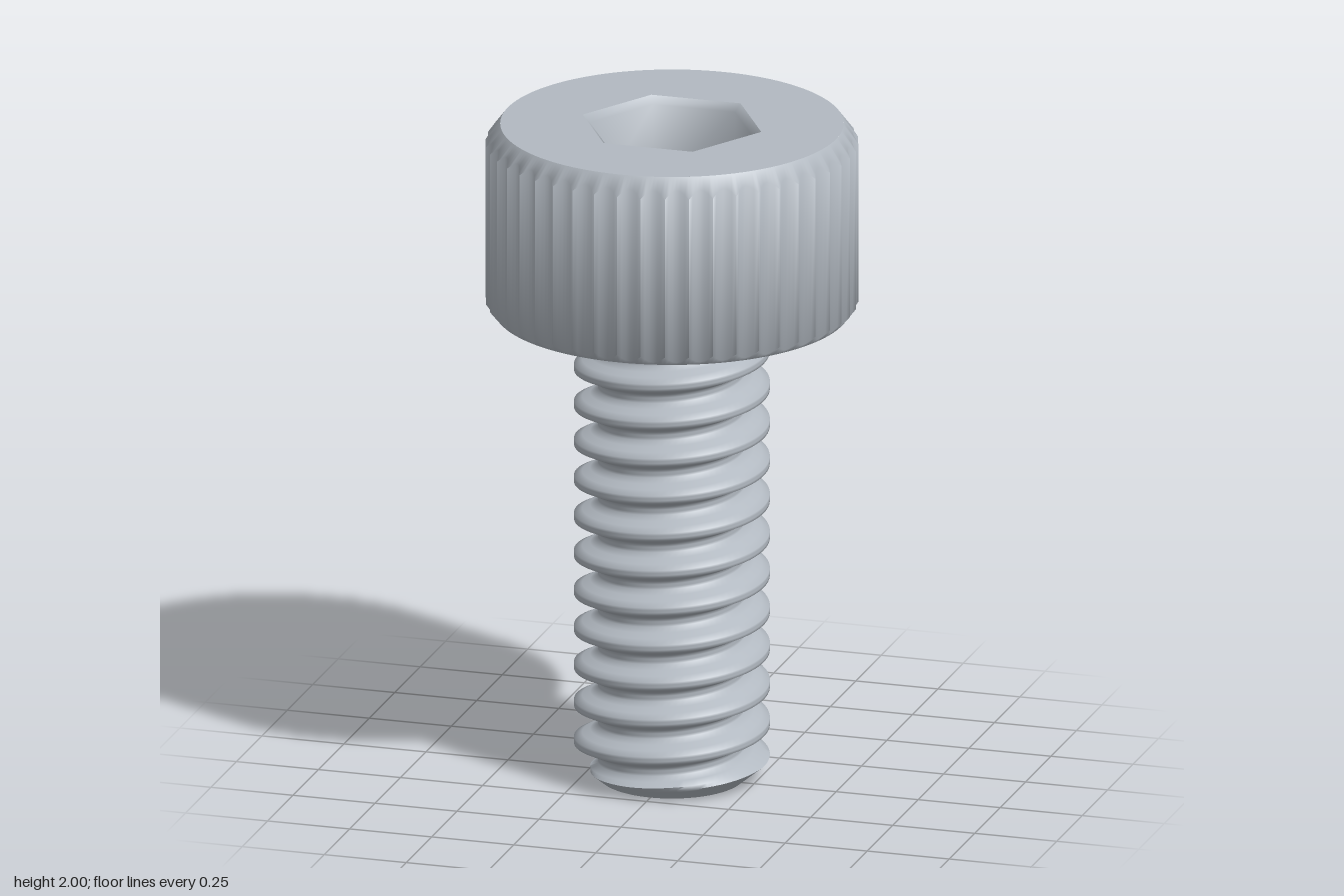
import * as THREE from 'three';
import { toCreasedNormals } from 'three/addons/utils/BufferGeometryUtils.js';

const TAU = Math.PI * 2;
const HEAD_Y = 1.43, TOP_Y = 2;              // underside and top of the head
const PITCH = 0.1143, CREST = 0.285, ROOT = 0.215, TIP = 0.212;
const CREST_HALF = 0.011, FLANK = 0.034;     // half crest width and flank height
const KNURLS = 48, HEAD_R = 0.543, GROOVE = 0.017;
const RIM_TOP = 0.5, RIM_BOTTOM = 0.518;
const SOCKET_OUTER = 0.272, SOCKET_INNER = 0.25, SOCKET_DEPTH = 0.29;
const SMOOTH = 1.25;                         // only edges sharper than this stay hard

// Surface around the y axis: point(row, angle) returns [radius, y]
function surface(rows, cols, point) {
  const S = 20; // enlarged while normals are found, so fine detail stays apart
  const pos = [], index = [];
  for (let i = 0; i <= rows; i++) {
    for (let j = 0; j <= cols; j++) {
      const a = (j / cols) * TAU;
      const [r, y] = point(i, a);
      pos.push(S * r * Math.cos(a), S * y, -S * r * Math.sin(a));
    }
  }
  const at = (i, j) => i * (cols + 1) + j;
  for (let i = 0; i < rows; i++) {
    for (let j = 0; j < cols; j++) {
      const q = [at(i, j), at(i, j + 1), at(i + 1, j + 1), at(i + 1, j)];
      const ys = q.map((k) => pos[k * 3 + 1]);
      if (Math.max(...ys) - Math.min(...ys) < 1e-6) continue; // trimmed away
      index.push(q[0], q[1], q[2], q[0], q[2], q[3]);
    }
  }
  const g = new THREE.BufferGeometry();
  g.setAttribute('position', new THREE.Float32BufferAttribute(pos, 3));
  g.setIndex(index);
  return toCreasedNormals(g, SMOOTH).scale(1 / S, 1 / S, 1 / S);
}

// Thread radius from the height above a crest centre
function threadRadius(h) {
  const d = Math.abs(h - PITCH * Math.round(h / PITCH));
  const t = THREE.MathUtils.clamp((d - CREST_HALF) / FLANK, 0, 1);
  return CREST + (ROOT - CREST) * t;
}

// Helical rows, trimmed flat at both ends and chamfered at the tip
function threadGeometry() {
  const foot = CREST_HALF + FLANK;
  const stops = [-CREST_HALF, CREST_HALF, foot, PITCH - foot, PITCH - CREST_HALF];
  const offsets = [];
  for (let n = -2; n < 13; n++) {
    for (let s = 0; s < 4; s++) {
      for (let k = 0; k < 3; k++) {
        offsets.push(n * PITCH + THREE.MathUtils.lerp(stops[s], stops[s + 1], k / 3));
      }
    }
  }
  return surface(offsets.length - 1, 72, (i, a) => {
    const start = 0.05 + (PITCH * a) / TAU;
    const y = THREE.MathUtils.clamp(start + offsets[i], 0, HEAD_Y);
    return [Math.min(threadRadius(y - start), TIP + y * 1.2), y];
  });
}

// Scalloped side that runs out into a chamfer at each end
function headSideGeometry() {
  return surface(3, KNURLS * 6, (i, a) => {
    const u = (a / TAU) * KNURLS;
    const r = HEAD_R - GROOVE * Math.abs(Math.sin(Math.PI * u));
    return [
      [RIM_BOTTOM, HEAD_Y],
      [r, HEAD_Y + (r - RIM_BOTTOM) * 1.2],
      [r, TOP_Y - (r - RIM_TOP) * 1.3],
      [RIM_TOP, TOP_Y],
    ][i];
  });
}

// Flat top with a six-sided opening
function headTopGeometry() {
  const shape = new THREE.Shape().absarc(0, 0, RIM_TOP, 0, TAU, false);
  const hole = new THREE.Path();
  for (let k = 0; k <= 6; k++) {
    const a = (-k / 6) * TAU;
    const x = SOCKET_OUTER * Math.cos(a), y = SOCKET_OUTER * Math.sin(a);
    if (k === 0) hole.moveTo(x, y); else hole.lineTo(x, y);
  }
  shape.holes.push(hole);
  return new THREE.ShapeGeometry(shape, 96).rotateX(-Math.PI / 2).translate(0, TOP_Y, 0);
}

// Horizontal disc facing up (1) or down (-1)
function disc(radius, sides, y, facing) {
  return new THREE.CircleGeometry(radius, sides)
    .rotateX((-facing * Math.PI) / 2).translate(0, y, 0);
}

export function createModel() {
  const steel = new THREE.MeshStandardMaterial({ color: 0xb2b9c1 });
  steel.name = 'steel grey';
  const model = new THREE.Group();
  model.name = 'socketCapScrew';

  const add = (parent, name, geometry) => {
    const mesh = new THREE.Mesh(geometry, steel);
    mesh.name = name;
    parent.add(mesh);
  };
  const section = (name) => {
    const group = new THREE.Group();
    group.name = name;
    model.add(group);
    return group;
  };

  const head = section('head');
  add(head, 'knurledSide', headSideGeometry());
  add(head, 'headTop', headTopGeometry());
  add(head, 'headUnderside', disc(RIM_BOTTOM, 96, HEAD_Y, -1));

  // Socket rows run downwards, so the walls face inwards
  const floor = TOP_Y - SOCKET_DEPTH;
  const wall = [[SOCKET_OUTER, TOP_Y], [SOCKET_INNER, TOP_Y - 0.022], [SOCKET_INNER, floor]];
  const socket = section('hexSocket');
  add(socket, 'socketWalls', surface(2, 6, (i) => wall[i]));
  add(socket, 'socketFloor', disc(SOCKET_INNER, 6, floor, 1));

  const shank = section('shank');
  add(shank, 'thread', threadGeometry());
  add(shank, 'shankTip', disc(TIP, 72, 0, -1));

  return model;
}
